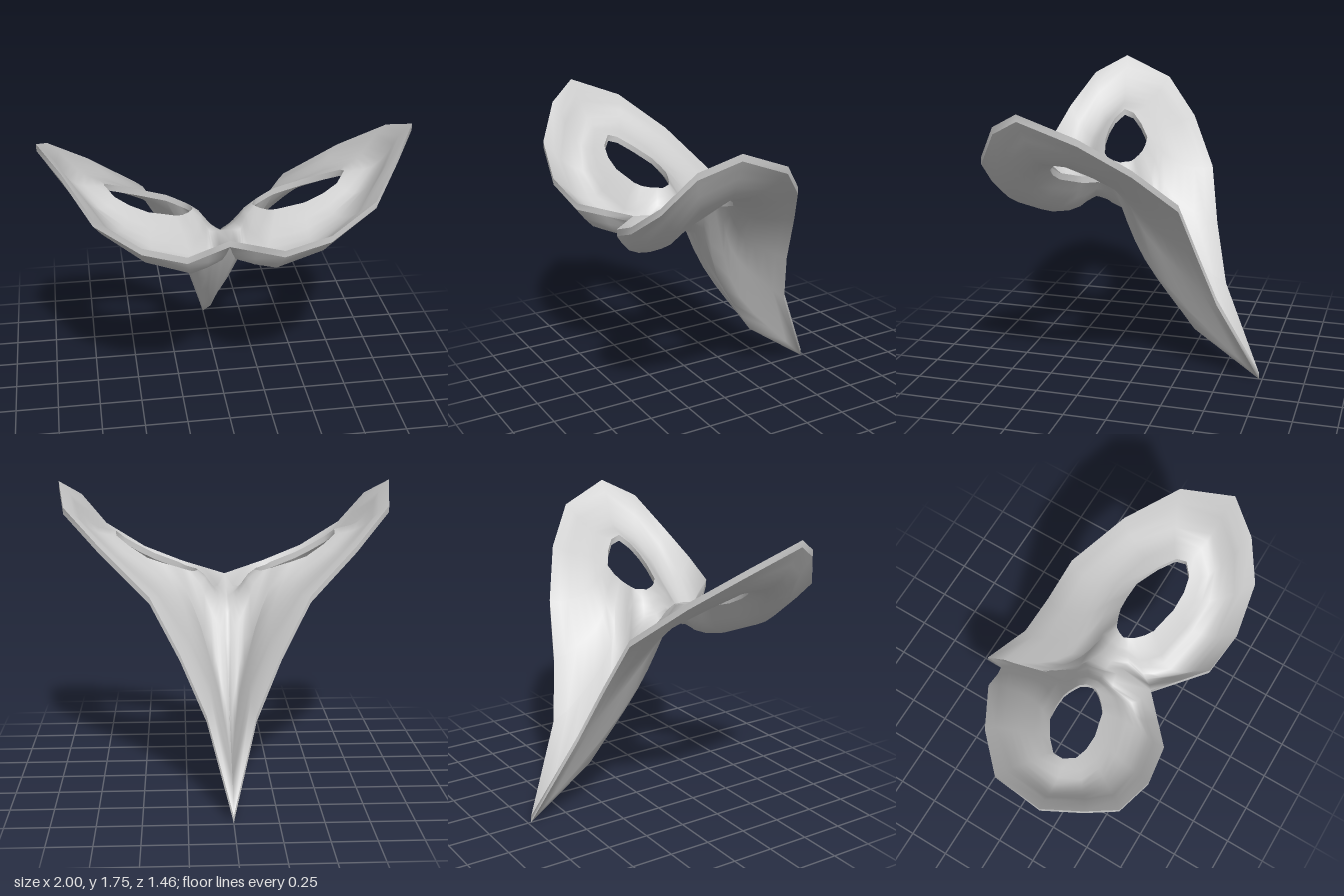
import * as THREE from 'three';
import { mergeVertices } from 'three/addons/utils/BufferGeometryUtils.js';

const THICKNESS = 0.038;
const STEPS = 8; // rows from the outer edge to the eye hole

// Left half as spokes around the eye: outer edge, middle, eye hole edge.
const OUTER = [
  [0, 1.12, 0.46], [0.13, 1.14, 0.575], [0.26, 1.16, 0.69], [0.5, 1.25, 0.725], // brow
  [0.74, 1.41, 0.68], [0.88, 1.61, 0.55], [1, 1.71, 0.37], [0.95, 1.59, 0.07], // wing
  [0.73, 1.39, -0.15], [0.45, 1.14, -0.33], [0.285, 0.83, -0.4], [0.14, 0.5, -0.49], // cheek
  [0, 0, -0.73], [0, 0.28, -0.33], [0, 0.8, 0.01], [0, 0.98, 0.06], [0, 1.03, 0.18], [0, 1.08, 0.25], // nose ridge
];
const MIDDLE = [
  [0.09, 1.01, 0.36], [0.14, 1.0, 0.41], [0.22, 1.02, 0.45], [0.45, 1.13, 0.47],
  [0.6, 1.25, 0.46], [0.71, 1.35, 0.41], [0.84, 1.47, 0.33], [0.8, 1.45, 0.15],
  [0.64, 1.33, 0.02], [0.42, 1.17, -0.1], [0.27, 1.0, -0.12], [0.17, 0.85, -0.12],
  [0.1, 0.6, -0.17], [0.09, 0.75, -0.03], [0.09, 0.98, 0.05], [0.08, 1.06, 0.11],
  [0.09, 1.09, 0.18], [0.09, 1.09, 0.25],
];
const HOLE = [
  [0.2, 1.2, 0.24], [0.24, 1.205, 0.28], [0.28, 1.22, 0.31], [0.43, 1.27, 0.35],
  [0.53, 1.32, 0.355], [0.61, 1.37, 0.34], [0.66, 1.42, 0.29], [0.655, 1.4, 0.23],
  [0.58, 1.35, 0.16], [0.47, 1.29, 0.09], [0.38, 1.26, 0.08], [0.31, 1.24, 0.08],
  [0.27, 1.225, 0.09], [0.23, 1.21, 0.105], [0.2, 1.2, 0.12], [0.18, 1.2, 0.15],
  [0.17, 1.195, 0.18], [0.18, 1.2, 0.21],
];
// Extra points for the full, rolled-under brow (first spokes only).
const BROW = [
  [0.04, 1.02, 0.42], [0.13, 1.03, 0.51], [0.23, 1.05, 0.6], [0.47, 1.14, 0.61],
  [0.67, 1.29, 0.57], [0.79, 1.43, 0.48],
];

// Single-layer surface: both halves welded along the centre line.
function maskSurface() {
  const n = OUTER.length, row = STEPS + 1;
  const positions = [], index = [];
  for (const side of [1, -1]) {
    const base = positions.length / 3;
    for (let i = 0; i < n; i++) {
      const points = [OUTER[i], ...BROW.slice(i, i + 1), MIDDLE[i], HOLE[i]];
      const spoke = new THREE.CatmullRomCurve3(points.map((p) => new THREE.Vector3(...p)));
      for (const p of spoke.getSpacedPoints(STEPS)) positions.push(side * p.x, p.y, p.z);
    }
    for (let i = 0; i < n; i++) {
      for (let j = 0; j < STEPS; j++) {
        const a = base + i * row + j, b = base + ((i + 1) % n) * row + j;
        if (side > 0) index.push(a, b, a + 1, b, b + 1, a + 1);
        else index.push(a, a + 1, b, b, a + 1, b + 1);
      }
    }
  }
  const geometry = new THREE.BufferGeometry();
  geometry.setAttribute('position', new THREE.Float32BufferAttribute(positions, 3));
  geometry.setIndex(index);
  const welded = mergeVertices(geometry, 1e-4);
  welded.computeVertexNormals();
  return welded;
}

// Add an inner layer along the normals and close the open edges with upright walls.
function thicken(surface, thickness) {
  const lower = Array.from(surface.attributes.position.array);
  const normals = surface.attributes.normal.array;
  const n = lower.length / 3, idx = surface.index.array;
  const upper = lower.map((v, i) => v + normals[i] * thickness);
  const index = [], walls = [], edges = new Set(), triangles = [];
  for (let i = 0; i < idx.length; i += 3) triangles.push([idx[i], idx[i + 1], idx[i + 2]]);
  for (const t of triangles) t.forEach((p, k) => edges.add(p + '_' + t[(k + 1) % 3]));
  for (const t of triangles) {
    const [a, b, c] = t;
    index.push(a + n, b + n, c + n, a, c, b);
    t.forEach((p, k) => {
      const q = t[(k + 1) % 3];
      if (!edges.has(q + '_' + p)) walls.push([p, q]);
    });
  }
  for (const [p, q] of walls) {
    upper.splice(3 * p, 3, lower[3 * p], lower[3 * p + 1] + thickness, lower[3 * p + 2]);
    index.push(q + 3 * n, p + 3 * n, p + 2 * n, q + 3 * n, p + 2 * n, q + 2 * n);
  }
  const positions = [...lower, ...upper, ...lower, ...upper]; // second pair is for the walls
  const geometry = new THREE.BufferGeometry();
  geometry.setAttribute('position', new THREE.Float32BufferAttribute(positions, 3));
  geometry.setIndex(index);
  geometry.computeVertexNormals();
  return geometry;
}

export function createModel() {
  const model = new THREE.Group();
  model.name = 'mask';
  const shell = new THREE.Mesh(
    thicken(maskSurface(), THICKNESS),
    new THREE.MeshStandardMaterial({ color: 0xcccccc }));
  shell.name = 'maskShell';
  model.add(shell);
  return model;
}
